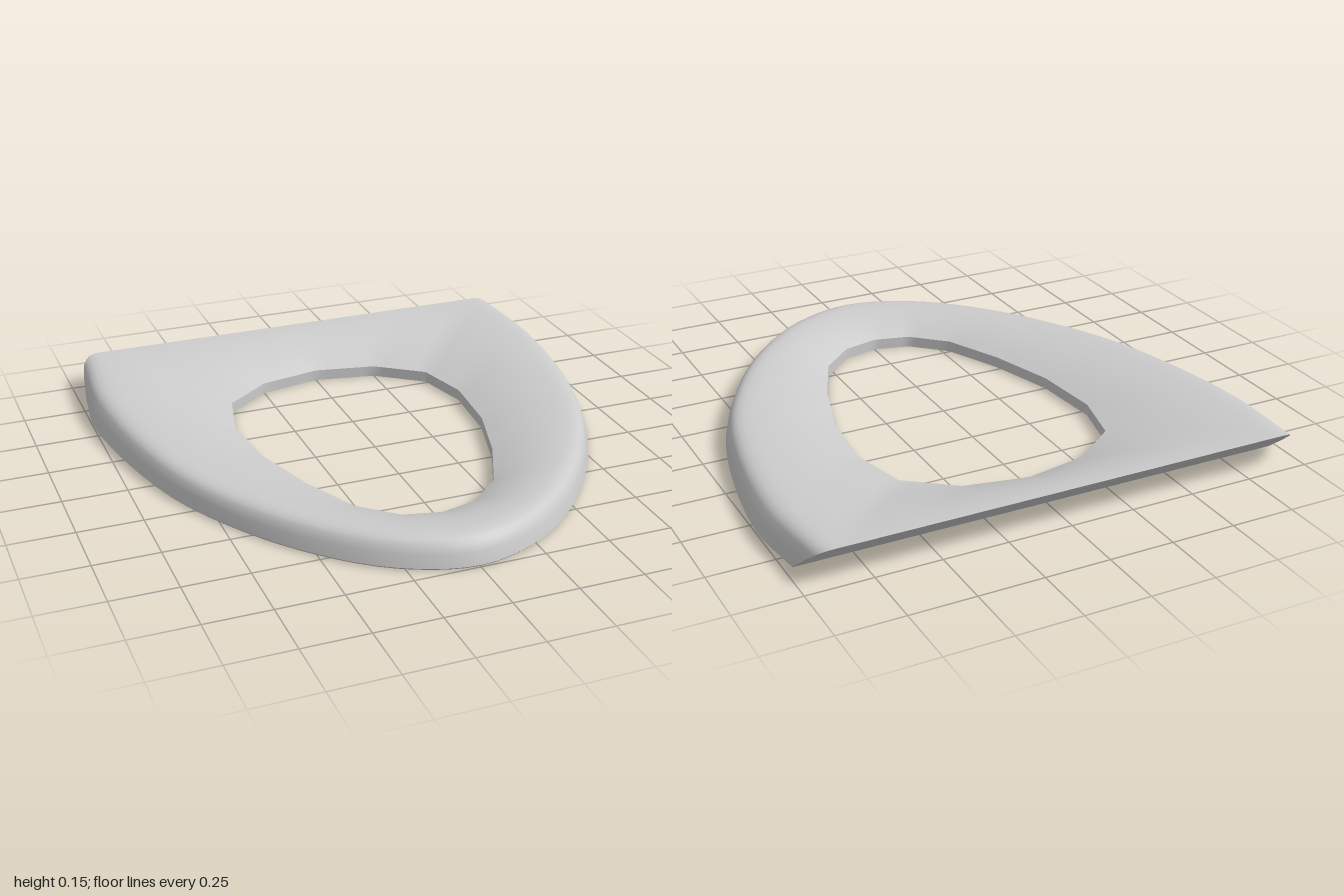
import * as THREE from 'three';
import { toCreasedNormals } from 'three/addons/utils/BufferGeometryUtils.js';

const SUB = 5; // subdivisions per hole side

// Right halves, from the back centre round to the front centre, as [x, z]
const HOLE = [[0, -0.7], [0.25, -0.65], [0.435, -0.51], [0.49, -0.285], [0.465, 0],
  [0.385, 0.27], [0.28, 0.505], [0.145, 0.63], [0, 0.665]];
const SIDE = [[0.975, -0.82], [1, -0.55], [0.905, 0], [0.78, 0.32], [0.55, 0.67], [0.28, 0.91], [0, 1]];

const mirrorRing = (half) => [...half, ...half.slice(1, -1).reverse().map(([x, z]) => [-x, z])];

// Straight-sided hole
function holeRing() {
  const half = [];
  for (let k = 0; k < HOLE.length - 1; k++) {
    for (let j = 0; j < SUB; j++) {
      half.push([0, 1].map((c) => THREE.MathUtils.lerp(HOLE[k][c], HOLE[k + 1][c], j / SUB)));
    }
  }
  half.push(HOLE[HOLE.length - 1]);
  return mirrorRing(half);
}

// Straight back edge, then a smooth curve round to the front
function outerRing() {
  const half = [];
  for (let j = 0; j < 2 * SUB; j++) half.push([SIDE[0][0] * j / (2 * SUB), SIDE[0][1]]);
  const pts = SIDE.map(([x, z]) => new THREE.Vector3(x, 0, z));
  const mirrored = pts.slice(0, -1).reverse().map((p) => new THREE.Vector3(-p.x, 0, p.z));
  const curve = new THREE.CatmullRomCurve3([...pts, ...mirrored]);
  const n = (SIDE.length - 1) * SUB;
  for (let j = 0; j <= n; j++) {
    const p = curve.getPoint(j / (2 * n));
    half.push([j === n ? 0 : p.x, p.z]);
  }
  return mirrorRing(half);
}

// The top rises gently towards the back
const topHeight = (z) => 0.11 + 0.036 * Math.pow(Math.max(0, (0.4 - z) / 1.4), 1.3);

function seatGeometry() {
  const outer = outerRing(), hole = holeRing();
  const rings = [];

  // Outer wall: height fraction and inset; the back leans outwards as it rises
  const wallPoint = ([x, z], f, inset) => {
    const lean = Math.pow(THREE.MathUtils.clamp((-0.2 - z) / 0.62, 0, 1), 2);
    const zz = (z > 0 ? z * (1 - inset) : z) - 0.18 * f * lean;
    return [x * (1 - inset), f * topHeight(z - 0.18 * lean), zz];
  };
  for (const [f, d] of [[0, 0.008], [0.07, 0], [0.5, 0.012], [0.78, 0.026], [0.9, 0.042], [0.97, 0.062], [1, 0.09]]) {
    rings.push(outer.map((p) => wallPoint(p, f, d)));
  }

  // Upper surface dipping down to the hole
  const rim = rings[rings.length - 1], steps = 10, lip = 0.045;
  for (let s = 1; s <= steps; s++) {
    const t = s / steps;
    rings.push(rim.map(([x, , z], i) => {
      const zz = THREE.MathUtils.lerp(z, hole[i][1], t);
      const y = THREE.MathUtils.lerp(topHeight(zz), lip, t * t);
      return [THREE.MathUtils.lerp(x, hole[i][0], t), y, zz];
    }));
  }
  // Hole wall down to the flat underside, which closes on the first ring
  rings.push(hole.map(([x, z]) => [x, 0, z]));

  const n = outer.length, m = rings.length, index = [];
  for (let r = 0; r < m; r++) {
    for (let i = 0; i < n; i++) {
      const j = (i + 1) % n, up = ((r + 1) % m) * n;
      const a = r * n + i, b = r * n + j, c = up + j, d = up + i;
      index.push(a, d, b, b, d, c);
    }
  }
  const geo = new THREE.BufferGeometry();
  geo.setAttribute('position', new THREE.Float32BufferAttribute(rings.flat(2), 3));
  geo.setIndex(index);
  return toCreasedNormals(geo, 0.6);
}

export function createModel() {
  const group = new THREE.Group();
  const seat = new THREE.Mesh(seatGeometry(), new THREE.MeshStandardMaterial({ color: 0xcccccc }));
  seat.name = 'seatRing';
  group.add(seat);
  return group;
}
